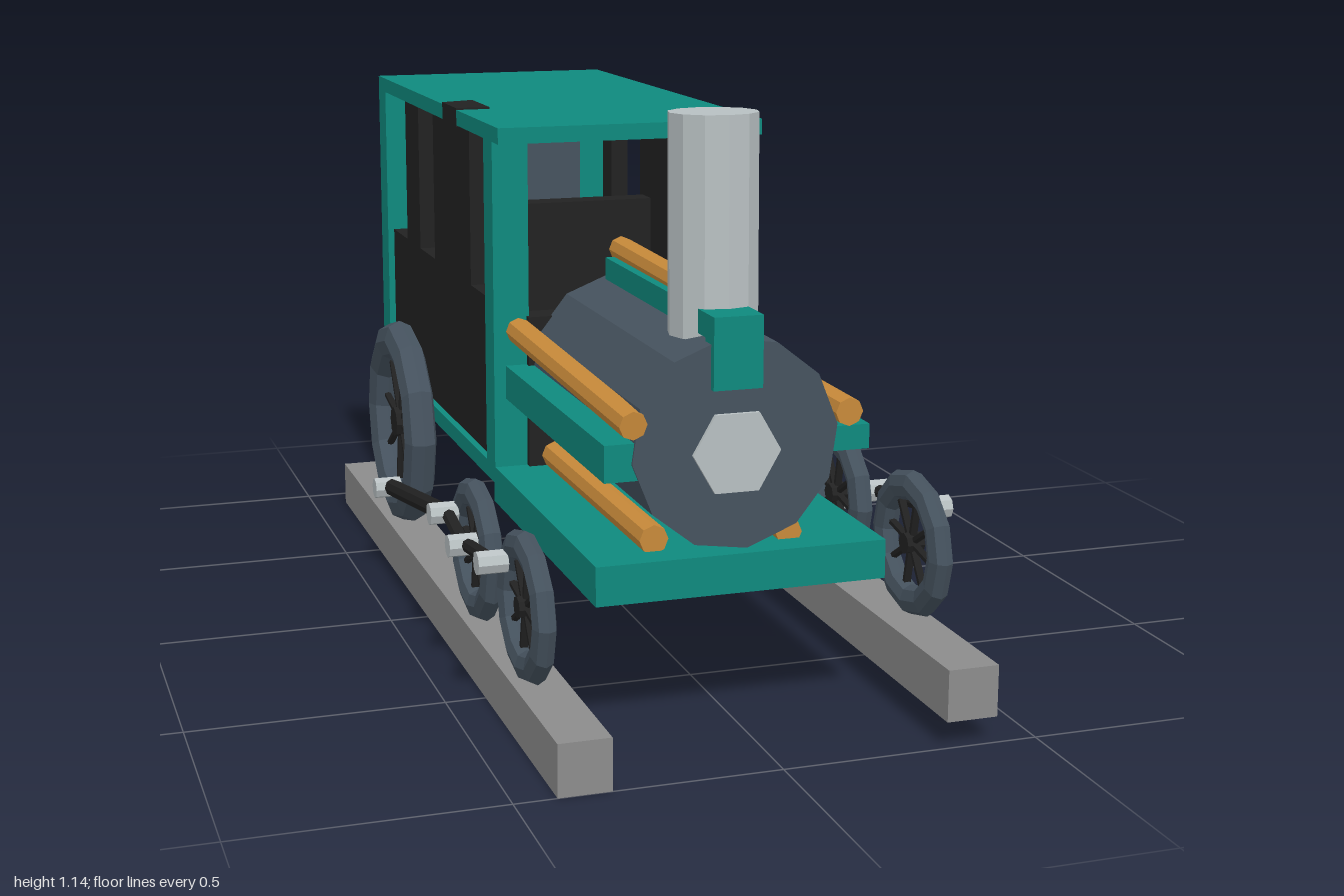
import * as THREE from 'three';

const mat = (color) => new THREE.MeshStandardMaterial({ color, flatShading: true });
const TEAL = mat(0x0f8a7e), DARK = mat(0x222222), SLATE = mat(0x46535f);
const WOOD = mat(0xc88a3a), STEEL = mat(0xb8c0c2), RAIL = mat(0x8c8c8c);

export function createModel() {
  const model = new THREE.Group();
  model.name = 'steamLocomotive';

  const add = (name, geometry, material, parent = model) => {
    const mesh = new THREE.Mesh(geometry, material);
    mesh.name = name;
    parent.add(mesh);
    return mesh;
  };

  // Box given by its limits on each axis
  const box = (name, material, [x0, x1], [y0, y1], [z0, z1]) => {
    const mesh = add(name, new THREE.BoxGeometry(x1 - x0, y1 - y0, z1 - z0), material);
    mesh.position.set((x0 + x1) / 2, (y0 + y1) / 2, (z0 + z1) / 2);
    return mesh;
  };

  // Cylinder running between two points
  const bar = (name, material, a, b, r, sides = 8, parent = model) => {
    const p = new THREE.Vector3(...a), q = new THREE.Vector3(...b);
    const dir = q.clone().sub(p);
    const mesh = add(name, new THREE.CylinderGeometry(r, r, dir.length(), sides), material, parent);
    mesh.position.copy(p).add(q).multiplyScalar(0.5);
    mesh.quaternion.setFromUnitVectors(new THREE.Vector3(0, 1, 0), dir.normalize());
    return mesh;
  };

  // Rails, the right one lying a little lower
  box('rightRail', RAIL, [-0.42, -0.32], [0, 0.1], [-0.92, 1]);
  box('leftRail', RAIL, [0.32, 0.42], [0.05, 0.15], [-0.92, 1]);

  // Chassis
  const width = [-0.295, 0.27];
  box('frontPlatform', TEAL, width, [0.275, 0.35], [0.1, 0.82]);
  box('cabFloor', TEAL, width, [0.315, 0.35], [-1, 0.11]);

  // Cab frame
  box('roof', TEAL, width, [1.03, 1.063], [-1, 0.16]);
  for (const [z0, z1] of [[0.04, 0.11], [-1, -0.925]]) {
    box('rightPost', TEAL, [-0.295, -0.22], [0.35, 1.03], [z0, z1]);
    box('leftPost', TEAL, [0.2, 0.27], [0.35, 1.03], [z0, z1]);
  }

  // Cab walls with window pillars
  const sides = [
    ['right', [-0.28, -0.235], [-0.77, -0.63]],
    ['left', [0.215, 0.255], [-0.77, -0.7]],
  ];
  for (const [side, x, rear] of sides) {
    box(side + 'Wall', DARK, x, [0.35, 0.69], [-0.93, 0.05]);
    box(side + 'WidePillar', DARK, x, [0.69, 1.035], [-0.48, -0.14]);
    box(side + 'NarrowPillar', DARK, x, [0.69, 1.035], rear);
  }
  box('frontWall', DARK, [-0.225, 0.222], [0.35, 0.667], [0.06, 0.125]);
  box('backWall', DARK, [-0.221, 0.225], [0.35, 1.03], [-0.985, -0.93]);
  box('cabBulkhead', DARK, [-0.235, 0.215], [0.35, 0.82], [-0.46, -0.4]);
  box('outerDoor', SLATE, [-0.1, 0.125], [0.352, 0.965], [-0.992, -0.98]);
  box('innerDoor', SLATE, [-0.03, 0.2], [0.352, 0.965], [-0.935, -0.92]);

  // Skewed pillar top showing through the roof
  const top = new THREE.BoxGeometry(0.074, 0.04, 0.14);
  const pos = top.attributes.position;
  for (let i = 0; i < pos.count; i++) {
    if (pos.getZ(i) < 0) pos.setZ(i, -0.07 - pos.getX(i) * 0.35);
  }
  add('pillarTop', top, DARK).position.set(-0.2585, 1.047, -0.26);

  // Boiler and its front plate
  const boiler = add('boiler', new THREE.CylinderGeometry(0.2, 0.2, 0.68, 12), SLATE);
  boiler.rotation.set(Math.PI / 2, 0.12, 0);
  boiler.position.set(-0.02, 0.55, 0.455);
  const plate = add('boilerFrontPlate', new THREE.CylinderGeometry(0.085, 0.085, 0.02, 6), STEEL);
  plate.rotation.set(Math.PI / 2, Math.PI / 6, 0);
  plate.position.set(-0.02, 0.535, 0.793);

  // Chimney, leaning back slightly
  bar('chimney', STEEL, [-0.018, 0.73, 0.66], [-0.018, 1.14, 0.652], 0.085, 12);

  // Teal beams along the boiler
  box('topBeam', TEAL, [-0.07, 0.025], [0.745, 0.79], [0.16, 0.8]);
  box('topBeamEnd', TEAL, [-0.07, 0.025], [0.655, 0.79], [0.765, 0.81]);
  box('rightBeam', TEAL, [-0.27, -0.2], [0.495, 0.565], [0.11, 0.79]);
  box('leftBeam', TEAL, [0.172, 0.245], [0.52, 0.567], [0.11, 0.79]);

  // Logs
  const logs = [
    [[-0.218, 0.6, 0.8], [-0.245, 0.64, 0.12], 0.027],
    [[0.2, 0.595, 0.8], [0.198, 0.598, 0.12], 0.027],
    [[-0.165, 0.372, 0.76], [-0.17, 0.372, 0.12], 0.028],
    [[0.1, 0.362, 0.76], [0.105, 0.366, 0.12], 0.026],
    [[-0.03, 0.798, 0.57], [-0.03, 0.803, 0.14], 0.026],
  ];
  for (const [a, b, r] of logs) bar('log', WOOD, a, b, r);

  // Spoked wheel in the yz plane with a flattened tyre
  const wheel = (name, x, y, z, ring, tube, halfWidth, stretch) => {
    const group = new THREE.Group();
    group.name = name;
    group.position.set(x, y, z);
    group.scale.z = stretch;
    const tyre = new THREE.TorusGeometry(ring, tube, 8, 12);
    tyre.scale(1, 1, halfWidth / tube);
    tyre.rotateY(Math.PI / 2);
    add('tyre', tyre, SLATE, group);
    for (let i = 0; i < 4; i++) {
      const a = (i * Math.PI) / 4 + 0.2;
      const c = Math.cos(a) * ring, s = Math.sin(a) * ring;
      bar('spoke', DARK, [0, c, s], [0, -c, -s], 0.008, 6, group);
    }
    bar('hub', DARK, [-0.018, 0, 0], [0.018, 0, 0], ring * 0.18, 8, group);
    model.add(group);
  };

  // Wheels on both sides, resting on their rail
  for (const [side, s, railTop] of [['right', -1, 0.1], ['left', 1, 0.15]]) {
    wheel(side + 'DrivingWheel', s * 0.382, railTop + 0.232, -0.405, 0.19, 0.044, 0.036, 1.03);
    for (const z of [0.315, 0.685])
      wheel(side + 'FrontWheel', s * 0.388, railTop + 0.143, z, 0.115, 0.03, 0.023, 1.08);
  }

  // Coupling rods and crank pins; pins listed as [y, z] from rear to front
  const cranks = [
    ['right', -1, [[0.2, -0.33], [0.295, 0.22], [0.275, 0.38], [0.31, 0.61]]],
    ['left', 1, [[0.43, -0.325], [0.26, 0.26], [0.325, 0.43], [0.36, 0.685]]],
  ];
  for (const [side, s, pins] of cranks) {
    pins.forEach(([y, z], i) => {
      bar(side + 'CrankPin', STEEL, [s * 0.405, y, z], [s * 0.463, y, z], 0.023);
      if (i === 0) return;
      const [py, pz] = pins[i - 1];
      bar(side + 'Rod', DARK, [s * 0.425, py, pz], [s * 0.43, y, z], i === 1 ? 0.019 : 0.014);
    });
  }

  return model;
}
